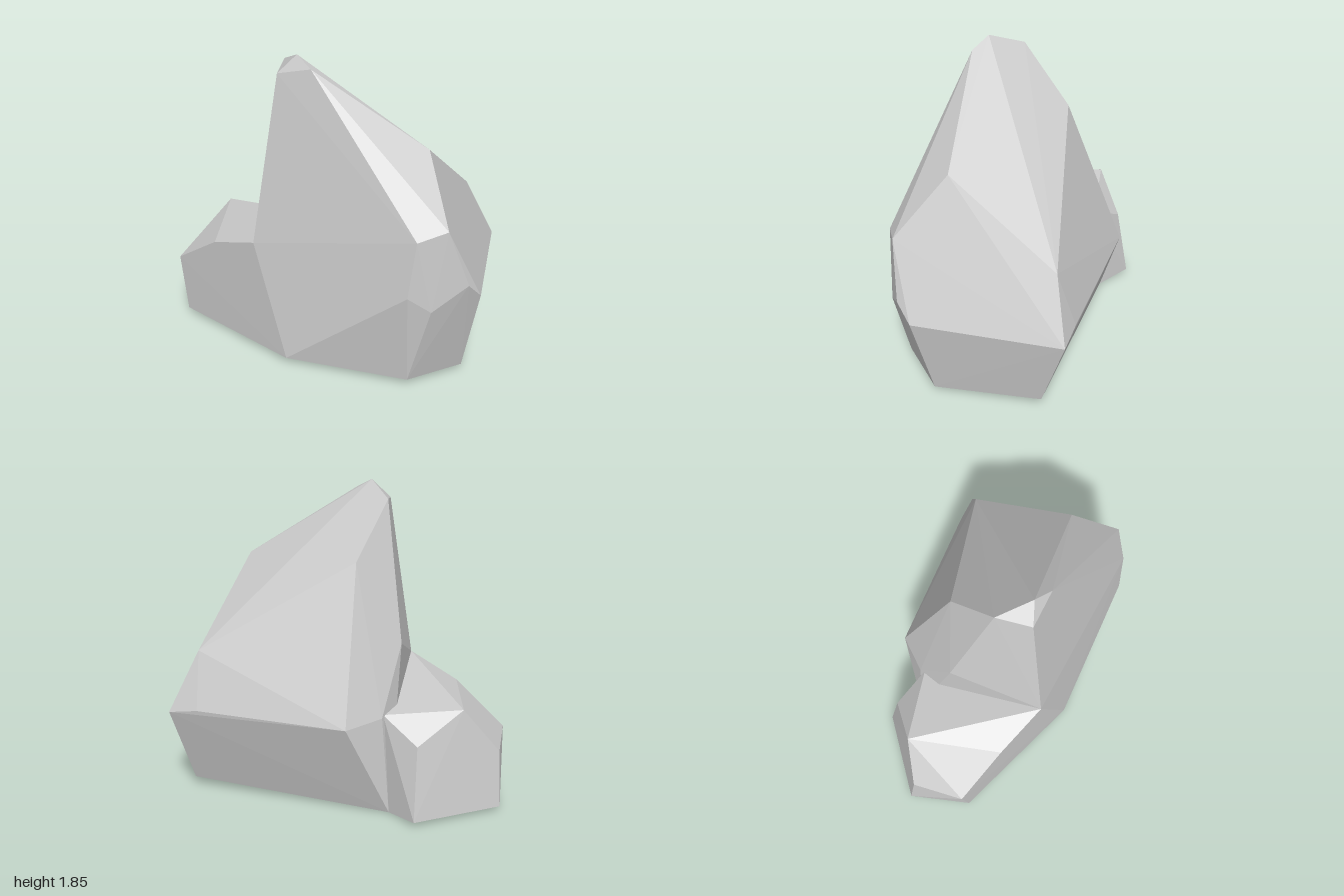
import * as THREE from 'three';
import { ConvexGeometry } from 'three/addons/geometries/ConvexGeometry.js';

// Corners of the tall boulder, listed from the peak down
const tallCorners = [
  // peak
  [-0.12, 1.85, 0.22], [-0.25, 1.77, 0.04], [-0.23, 1.74, 0.25], [-0.02, 1.79, 0.29],
  // shoulders
  [0.65, 1.36, 0.23], [-0.12, 1.46, -0.26], [0.82, 1.0, 0.51], [0.66, 0.95, 0.59],
  [0.79, 0.92, -0.42], [-0.38, 0.97, -0.2],
  // waist
  [0.94, 0.66, 0.46], [1.0, 0.56, 0.37], [0.75, 0.52, 0.57], [0.62, 0.61, 0.61],
  [0.96, 0.55, -0.51], [0.78, 0.58, -0.53], [-0.13, 0.57, -0.61],
  [-0.31, 0.59, -0.44], [-0.36, 0.72, 0.37],
  // foot
  [0.62, 0.03, 0.53], [0.9, 0.03, 0.28], [0.87, 0.06, -0.36],
  [-0.36, 0, -0.46], [-0.13, 0.03, 0.49],
];

// Corners of the low boulder leaning against its side
const lowCorners = [
  // top
  [-0.77, 0.65, -0.36], [-0.67, 0.61, 0.21], [-0.36, 0.72, 0.37], [-0.31, 0.6, -0.41],
  // bevel
  [-0.98, 0.39, 0.05], [-0.98, 0.37, -0.27], [-0.53, 0.47, -0.53],
  // foot
  [-0.93, 0.03, 0.07], [-1.0, 0.03, -0.31], [-0.53, 0.03, -0.61],
  [-0.36, 0, -0.46], [-0.13, 0.03, 0.49],
];

export function createModel() {
  const group = new THREE.Group();
  group.name = 'rock';
  const stone = new THREE.MeshStandardMaterial({ color: 0xcccccc, flatShading: true });

  // Each boulder is the faceted hull around its corners
  const addBoulder = (name, corners) => {
    const points = corners.map((c) => new THREE.Vector3(...c));
    const mesh = new THREE.Mesh(new ConvexGeometry(points), stone);
    mesh.name = name;
    group.add(mesh);
  };
  addBoulder('tallBoulder', tallCorners);
  addBoulder('lowBoulder', lowCorners);
  return group;
}
